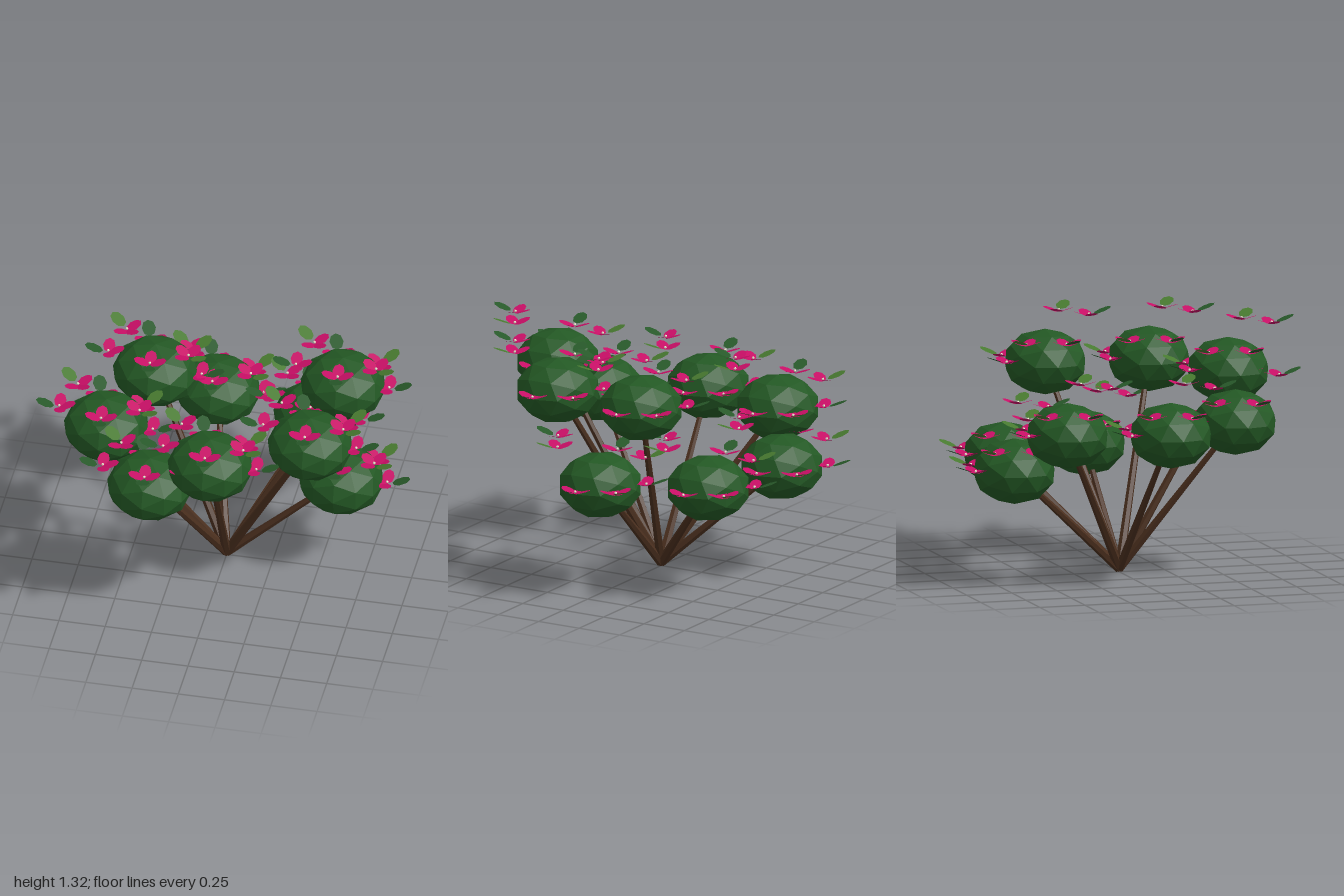
import * as THREE from 'three';

const mat = (name, color, extra = {}) => {
  const m = new THREE.MeshStandardMaterial({ color, ...extra });
  m.name = name;
  return m;
};

export function createModel() {
  const flat = { flatShading: true };
  const thin = { flatShading: true, side: THREE.DoubleSide };
  const wood = mat('brown bark', 0x4a2f1e, flat);
  const foliage = mat('deep green foliage', 0x235824, flat);
  const pink = mat('magenta petal', 0xc80f66, thin);
  const darkLeaf = mat('dark green leaf', 0x28592a, thin);
  const lightLeaf = mat('light green leaf', 0x487a30, thin);
  const cream = mat('cream flower centre', 0xf0e6d0, flat);

  const root = new THREE.Group();
  root.name = 'floweringShrub';
  const add = (parent, name, geo, material) => {
    const mesh = new THREE.Mesh(geo, material);
    mesh.name = name;
    parent.add(mesh);
    return mesh;
  };

  // Faceted oval blade pointing along +x, rising from its root
  const blade = (start, length, width, tilt) => {
    const g = new THREE.CircleGeometry(0.5, 8);
    g.rotateX(-Math.PI / 2);
    g.scale(length, 1, width);
    g.translate(start + length / 2, 0, 0);
    g.rotateZ(tilt);
    return g;
  };
  const petalGeo = blade(0, 0.092, 0.066, 0.32);
  const leafGeo = blade(0.03, 0.103, 0.075, 0.36);
  const centreGeo = new THREE.IcosahedronGeometry(0.008, 0);
  const clumpGeo = new THREE.IcosahedronGeometry(1, 1);
  clumpGeo.scale(0.23, 0.176, 0.222);

  // One flower: three petals and a leaf that points outward
  const makeFlower = (leafMaterial) => {
    const flower = new THREE.Group();
    flower.name = 'flower';
    for (const deg of [95, 180, 265]) {
      add(flower, 'petal', petalGeo, pink).rotation.y = THREE.MathUtils.degToRad(deg);
    }
    add(flower, 'leaf', leafGeo, leafMaterial);
    add(flower, 'flowerCentre', centreGeo, cream).position.y = 0.012;
    return flower;
  };

  // Ring of flowers around every clump: angle from +x towards +z, height above the clump centre
  const ring = [
    [1, 0.01, darkLeaf], [34, 0.228, lightLeaf], [85, 0.228, darkLeaf], [170, 0.118, darkLeaf],
    [221, 0.118, lightLeaf], [252, 0.01, darkLeaf], [310, 0.01, lightLeaf],
  ];

  // Clump centres
  const clumps = [
    [0.62, 0.595, 0], [0.52, 1.045, 0.325], [0.04, 1.045, 0.615],
    [-0.3, 0.82, 0.55], [-0.63, 0.82, 0.09], [-0.475, 0.82, -0.435],
    [-0.18, 0.595, -0.637], [0.375, 0.595, -0.52], [0.582, 1.045, -0.23],
  ];

  const up = new THREE.Vector3(0, 1, 0);
  const base = new THREE.Vector3(0, 0.015, 0);
  for (const [x, y, z] of clumps) {
    // Tapered branch from the common base
    const dir = new THREE.Vector3(x, y, z).sub(base);
    const length = dir.length();
    const branchGeo = new THREE.CylinderGeometry(0.014, 0.025, length, 6);
    branchGeo.translate(0, length / 2, 0);
    const branch = add(root, 'branch', branchGeo, wood);
    branch.position.copy(base);
    branch.quaternion.setFromUnitVectors(up, dir.normalize());

    // Foliage clump with its flowers
    const clump = new THREE.Group();
    clump.name = 'flowerClump';
    clump.position.set(x, y, z);
    add(clump, 'foliage', clumpGeo, foliage);
    for (const [deg, height, leafMaterial] of ring) {
      const a = THREE.MathUtils.degToRad(deg);
      const flower = makeFlower(leafMaterial);
      flower.position.set(0.25 * Math.cos(a), height, 0.25 * Math.sin(a));
      flower.rotation.y = -a;
      clump.add(flower);
    }
    root.add(clump);
  }
  return root;
}
